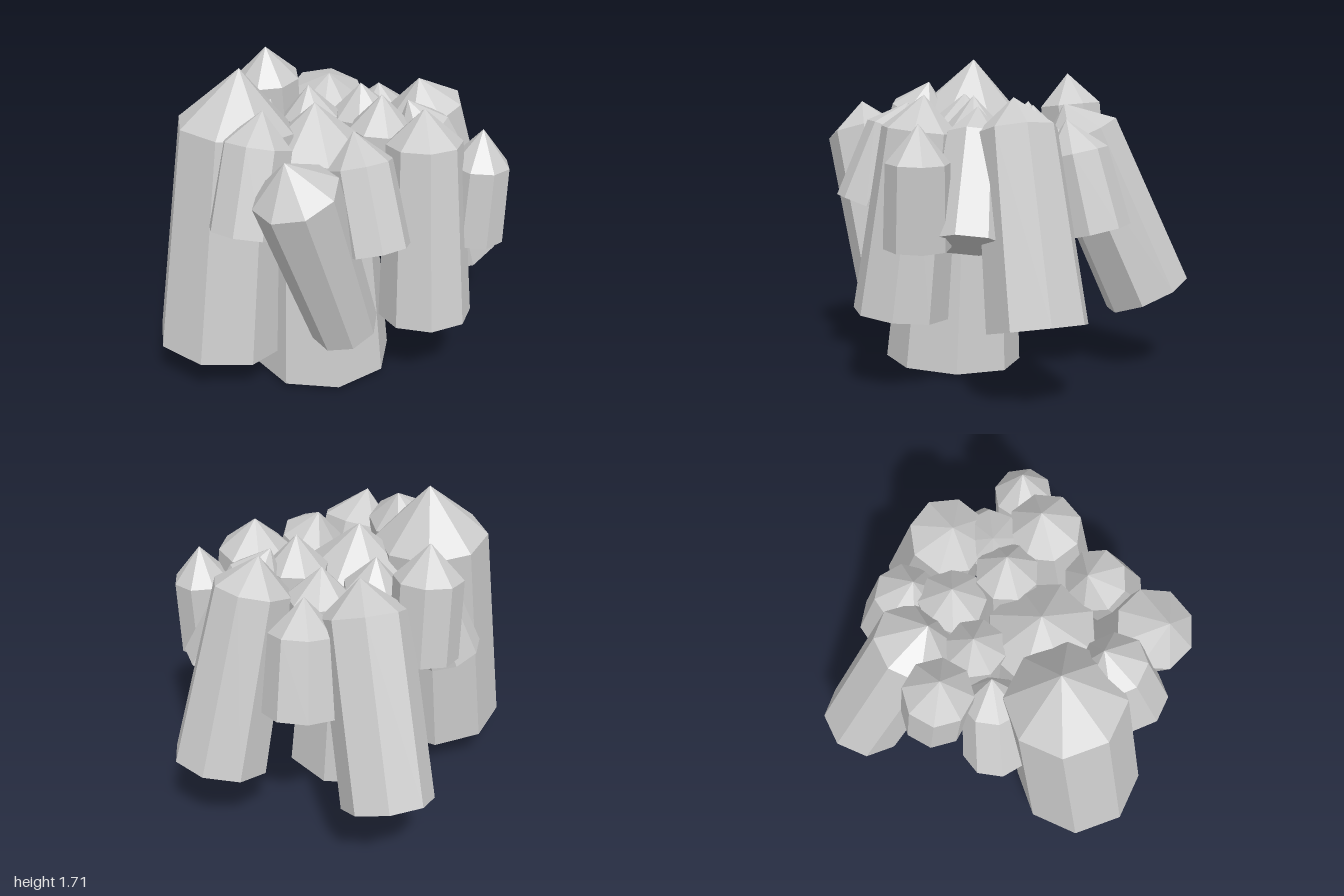
import * as THREE from 'three';

// name, base centre, tip, base radius, shoulder radius, cap height
const CRYSTALS = [
  ['centralCrystal', [-0.2, 0.05, 0.12], [-0.18, 1.55, 0.05], 0.38, 0.29, 0.25],
  ['largeBackCrystal', [-0.65, 0.23, -0.22], [-0.45, 1.74, -0.22], 0.36, 0.31, 0.3],
  ['frontCrystal', [0.05, 0.43, 0.64], [0.12, 1.56, 0.53], 0.25, 0.2, 0.18],
  ['frontLeftSideCrystal', [0.75, 0.43, 0.3], [0.46, 1.55, 0.22], 0.26, 0.21, 0.17],
  ['backLeftSideCrystal', [0.56, 0.45, -0.66], [0.28, 1.5, -0.28], 0.24, 0.23, 0.18],
  ['frontRightSideCrystal', [-0.36, 0.44, 0.43], [-0.73, 1.5, 0.38], 0.18, 0.22, 0.19],
  ['rightSideCrystal', [-0.74, 1.03, 0.1], [-0.54, 1.61, 0.04], 0.19, 0.18, 0.17],
  ['leftSideCrystal', [0.62, 0.85, -0.17], [0.5, 1.43, -0.1], 0.21, 0.18, 0.18],
  ['smallFrontCrystal', [0.33, 0.82, 0.72], [0.36, 1.43, 0.73], 0.17, 0.16, 0.19],
  ['slantedFrontCrystal', [0.47, 0.83, 0.52], [0.27, 1.5, 0.3], 0.21, 0.16, 0.17],
  ['smallFrontRightCrystal', [-0.32, 0.95, 0.6], [-0.25, 1.51, 0.38], 0.18, 0.17, 0.17],
  ['smallBackCrystal', [0.09, 1.06, -0.55], [0.03, 1.66, -0.53], 0.18, 0.18, 0.18],
  ['smallBackRightCrystal', [-0.26, 0.9, -0.5], [-0.13, 1.45, -0.33], 0.18, 0.16, 0.17],
  ['innerBackCrystal', [0.06, 0.9, -0.17], [0.05, 1.51, -0.22], 0.15, 0.16, 0.17],
  ['innerLeftCrystal', [0.34, 0.7, -0.03], [0.29, 1.5, -0.05], 0.18, 0.18, 0.17],
  ['innerFrontCrystal', [0.14, 0.8, 0.23], [0.14, 1.55, 0.23], 0.17, 0.17, 0.18],
];

const UP = new THREE.Vector3(0, 1, 0);

// Eight-sided tapered prism with a pointed cap, leaning from base to tip
function crystal([name, base, tip, baseRadius, shoulderRadius, cap], index, material) {
  const start = new THREE.Vector3(...base);
  const axis = new THREE.Vector3(...tip).sub(start);
  const height = axis.length();
  const profile = [
    new THREE.Vector2(0, 0),
    new THREE.Vector2(baseRadius, 0),
    new THREE.Vector2(shoulderRadius, height - cap),
    new THREE.Vector2(0, height),
  ];
  const geometry = new THREE.LatheGeometry(profile, 8);
  geometry.rotateY(0.2 + index * 0.31);
  const mesh = new THREE.Mesh(geometry, material);
  mesh.name = name;
  mesh.position.copy(start);
  mesh.quaternion.setFromUnitVectors(UP, axis.normalize());
  return mesh;
}

export function createModel() {
  const group = new THREE.Group();
  group.name = 'crystalCluster';
  const material = new THREE.MeshStandardMaterial({ color: 0xcccccc, flatShading: true });
  CRYSTALS.forEach((spec, i) => group.add(crystal(spec, i, material)));
  return group;
}
